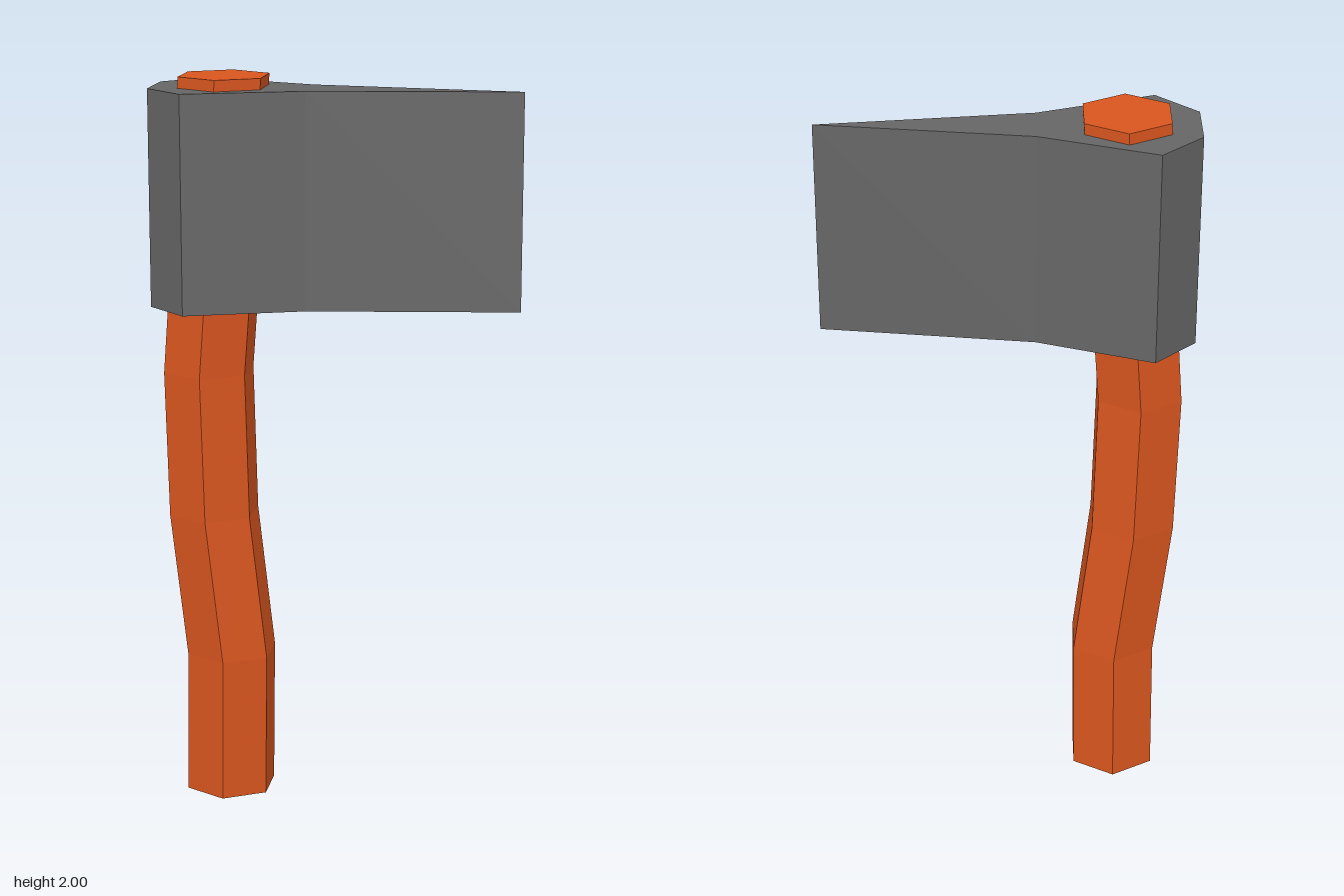
import * as THREE from 'three';

export function createModel() {
  const group = new THREE.Group();
  const wood = new THREE.MeshStandardMaterial({ color: 0xd9561f, flatShading: true });
  const steel = new THREE.MeshStandardMaterial({ color: 0x666666, flatShading: true });

  // Handle: hexagonal shaft whose rings shift sideways to form a gentle bend
  const centres = [-0.305, -0.3, -0.345, -0.355, -0.325, -0.305];
  const shaft = new THREE.CylinderGeometry(0.128, 0.128, 2, 6, centres.length - 1);
  shaft.translate(0, 1, 0);
  const pos = shaft.attributes.position;
  for (let i = 0; i < pos.count; i++) {
    const ring = Math.round(pos.getY(i) / 0.4);
    pos.setX(i, pos.getX(i) + centres[ring]);
  }
  shaft.computeVertexNormals();
  const handle = new THREE.Mesh(shaft, wood);
  handle.name = 'handle';
  group.add(handle);

  // Axe head: wedge outline, mirrored across the blade's centre plane, extruded upward
  const side = [[-0.495, 0.08], [-0.385, 0.19], [-0.075, 0.075]];
  const outline = [
    ...side.map(([x, z]) => new THREE.Vector2(x, z)),
    new THREE.Vector2(0.493, 0),
    ...side.map(([x, z]) => new THREE.Vector2(x, -z)).reverse(),
  ];
  const wedge = new THREE.ExtrudeGeometry(new THREE.Shape(outline), { depth: 0.585, bevelEnabled: false });
  wedge.rotateX(-Math.PI / 2);
  const head = new THREE.Mesh(wedge, steel);
  head.position.y = 1.385;
  head.name = 'axeHead';
  group.add(head);

  return group;
}
